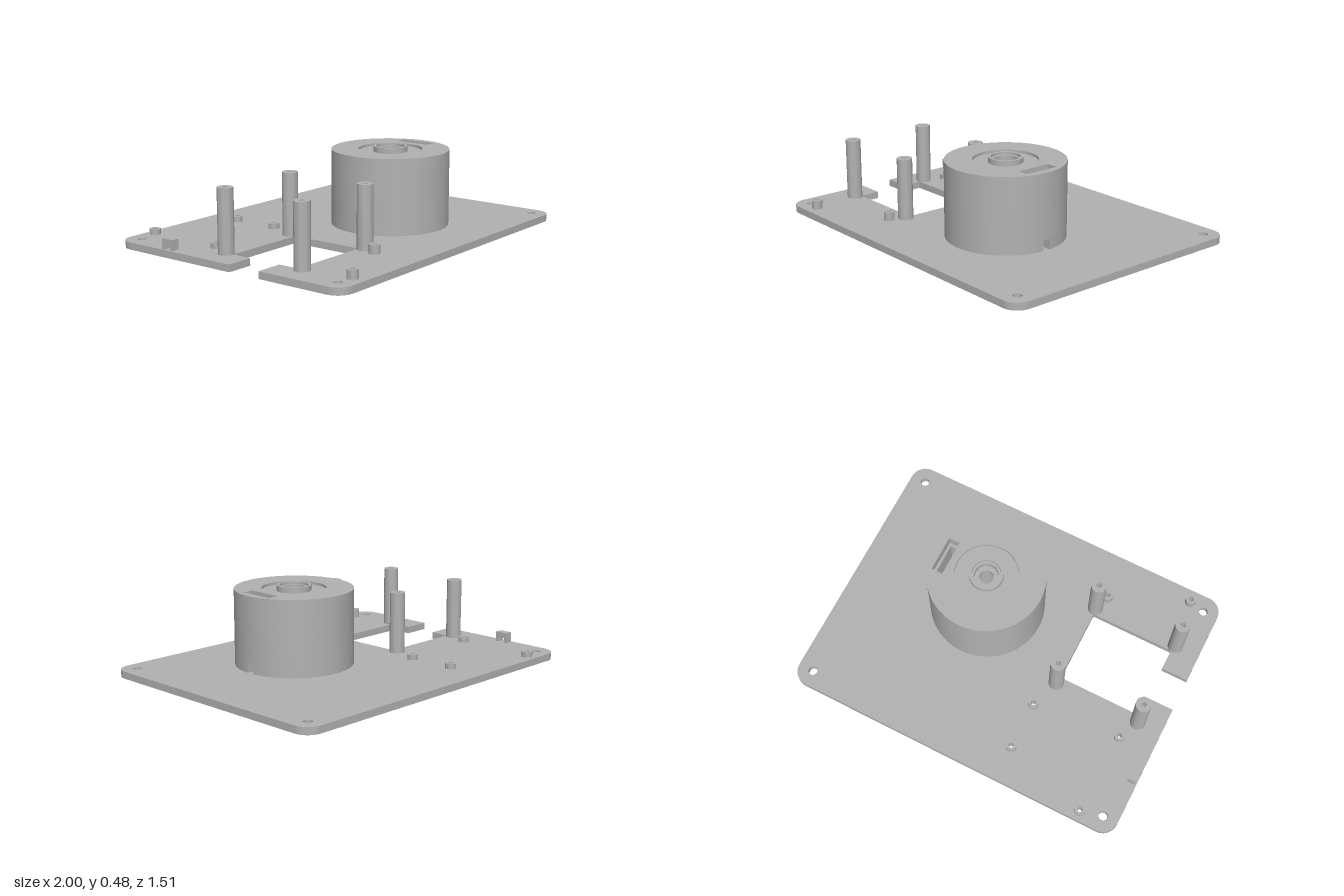
import * as THREE from 'three';
import { toCreasedNormals } from 'three/addons/utils/BufferGeometryUtils.js';

const PLATE = 0.04;                 // plate thickness
const CX = 0.22, CZ = 0.15;         // drum axis
const DRUM_R = 0.33;

export function createModel() {
  const group = new THREE.Group();
  const grey = new THREE.MeshStandardMaterial({ color: 0xb2b2b2 });
  grey.name = 'plain grey';

  const add = (name, geometry) => {
    const mesh = new THREE.Mesh(geometry, grey);
    mesh.name = name;
    group.add(mesh);
    return mesh;
  };

  // Plan shapes are drawn in (x, -z) and raised from y0 to y1
  const raise = (shape, y0, y1) => {
    const g = new THREE.ExtrudeGeometry(shape, { depth: y1 - y0, bevelEnabled: false, curveSegments: 32 });
    g.rotateX(-Math.PI / 2);
    g.translate(0, y0, 0);
    return toCreasedNormals(g, 0.6);
  };
  const circle = (x, z, r) => new THREE.Path().absarc(x, -z, r, 0, Math.PI * 2, true);
  const rect = (x0, x1, z0, z1) => new THREE.Path([
    new THREE.Vector2(x0, -z0), new THREE.Vector2(x1, -z0),
    new THREE.Vector2(x1, -z1), new THREE.Vector2(x0, -z1), new THREE.Vector2(x0, -z0),
  ]);
  const turn = (points) => toCreasedNormals(
    new THREE.LatheGeometry(points.map(([r, y]) => new THREE.Vector2(r, y)), 48), 0.6);

  // Standoff positions: x, z, top height
  const standoffs = [
    [-0.785, -0.70, 0.07], [-0.29, -0.55, 0.07], [-0.29, -0.275, 0.07],
    [-0.80, -0.228, 0.07], [-0.82, 0.685, 0.09], [-0.383, 0.49, 0.09],
  ];

  // Base plate with rounded corners and a cutout open to the right-hand edge
  const w = 1, d = 0.757, r = 0.09;
  const plate = new THREE.Shape();
  plate.moveTo(-w + r, -d);
  plate.absarc(w - r, -d + r, r, -Math.PI / 2, 0);
  plate.absarc(w - r, d - r, r, 0, Math.PI / 2);
  plate.absarc(-w + r, d - r, r, Math.PI / 2, Math.PI);
  for (const [x, z] of [[-w, 0.05], [-0.845, 0.05], [-0.845, -0.065], [-0.357, -0.065],
    [-0.357, 0.365], [-0.845, 0.365], [-0.845, 0.245], [-w, 0.245]]) plate.lineTo(x, -z);
  plate.absarc(-w + r, -d + r, r, Math.PI, Math.PI * 1.5);
  for (const x of [-0.912, 0.912]) {
    for (const z of [-0.668, 0.668]) plate.holes.push(circle(x, z, 0.025));
  }
  for (const [x, z] of standoffs) plate.holes.push(circle(x, z, 0.014));
  plate.holes.push(circle(CX, CZ, 0.07));
  add('basePlate', raise(plate, 0, PLATE));

  // Drum, stacked from layers so that the slot and the recess are real openings
  const disc = (...holes) => {
    const s = new THREE.Shape().absarc(CX, -CZ, DRUM_R, 0, Math.PI * 2);
    s.holes.push(...holes);
    return s;
  };
  const wide = () => rect(0.438, 0.503, 0.045, 0.25);
  const narrow = () => rect(0.453, 0.488, 0.06, 0.235);
  const bore = () => circle(CX, CZ, 0.07);

  // Bottom layer with the cable notch in its left side
  const a = Math.asin(0.023 / DRUM_R);
  const foot = new THREE.Shape();
  foot.absarc(CX, -CZ, DRUM_R, a, Math.PI * 2 - a);
  foot.lineTo(0.453, -CZ - 0.023);
  foot.lineTo(0.453, -CZ + 0.023);
  foot.holes.push(bore());
  add('drumFoot', raise(foot, PLATE, 0.10));
  add('drumBody', raise(disc(bore(), narrow()), 0.10, 0.40));
  add('drumShoulder', raise(disc(bore(), wide()), 0.40, 0.45));
  add('drumRim', raise(disc(circle(CX, CZ, 0.178), wide()), 0.45, 0.465));

  // Stepped hub around the shaft hole
  const hub = add('shaftHub', turn([
    [0.07, 0.40], [0.07, 0.45], [0.095, 0.45], [0.095, 0.48], [0.08, 0.48], [0.08, 0.465],
    [0.065, 0.465], [0.065, 0.43], [0.039, 0.43], [0.039, 0.40], [0.07, 0.40],
  ]));
  hub.position.set(CX, 0, CZ);

  // Tall posts with blind screw holes
  const postGeometry = turn([
    [0.043, PLATE], [0.043, 0.39], [0.014, 0.39], [0.014, 0.31], [0, 0.31],
  ]);
  for (const x of [-0.855, -0.348]) {
    for (const z of [-0.105, 0.402]) add('tallPost', postGeometry).position.set(x, 0, z);
  }

  // Short board standoffs, drilled through
  for (const [x, z, top] of standoffs) {
    const g = turn([[0.03, PLATE], [0.03, top], [0.014, top], [0.014, PLATE]]);
    add('standoff', g).position.set(x, 0, z);
  }

  // Cable tie bridge at the edge of the plate
  const bridge = new THREE.Shape([
    [-0.038, 0], [-0.021, 0], [-0.021, 0.027], [0.021, 0.027],
    [0.021, 0], [0.038, 0], [0.038, 0.058], [-0.038, 0.058],
  ].map(([x, y]) => new THREE.Vector2(x, y)));
  const bridgeGeometry = new THREE.ExtrudeGeometry(bridge, { depth: 0.045, bevelEnabled: false });
  bridgeGeometry.rotateY(Math.PI / 2);
  add('cableBridge', bridgeGeometry).position.set(-0.99, PLATE, -0.396);

  return group;
}
